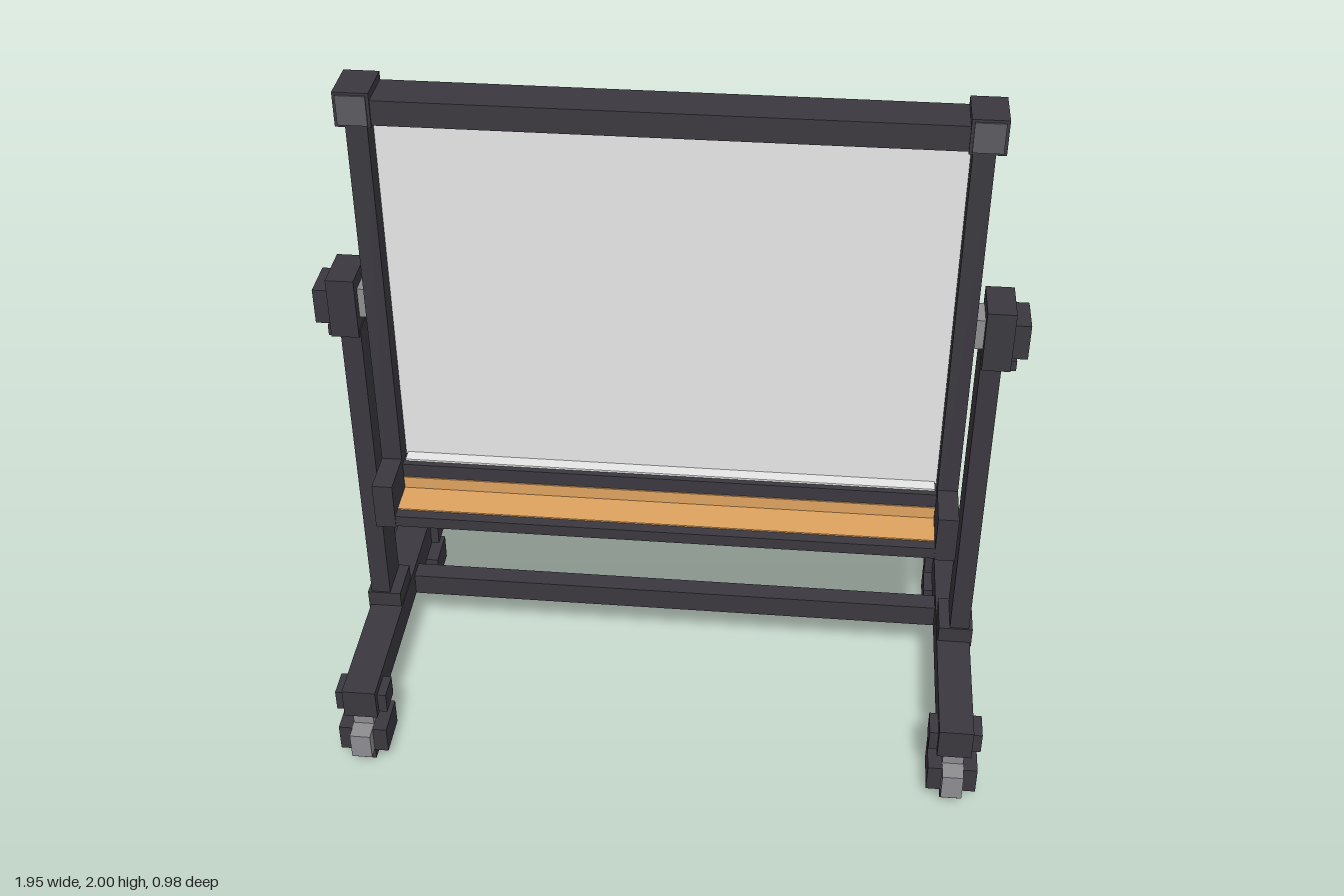
import * as THREE from 'three';

const mat = (name, color) => {
  const m = new THREE.MeshStandardMaterial({ color });
  m.name = name;
  return m;
};

export function createModel() {
  const dark = mat('charcoal frame', 0x3b393f);
  const grey = mat('caster grey', 0x8e8e92);
  const capGrey = mat('corner cap grey', 0x5c5c60);
  const white = mat('board white', 0xe8e8e8);
  const wood = mat('tray orange', 0xdfa45f);

  const model = new THREE.Group();
  model.name = 'rollingWhiteboard';

  // Box given by its low and high limits on each axis
  const box = (parent, name, m, [x0, x1], [y0, y1], [z0, z1]) => {
    const mesh = new THREE.Mesh(new THREE.BoxGeometry(Math.abs(x1 - x0), y1 - y0, z1 - z0), m);
    mesh.position.set((x0 + x1) / 2, (y0 + y1) / 2, (z0 + z1) / 2);
    mesh.name = name;
    parent.add(mesh);
  };
  const group = (name) => {
    const g = new THREE.Group();
    g.name = name;
    model.add(g);
    return g;
  };

  // Thin board set deep in its frame; the lower rail is stepped, taller in front
  const board = group('board');
  box(board, 'writingPanel', white, [-0.772, 0.772], [0.765, 1.915], [-0.008, 0.008]);
  box(board, 'topRail', dark, [-0.77, 0.77], [1.908, 1.978], [-0.063, 0.063]);
  box(board, 'bottomRail', dark, [-0.77, 0.77], [0.75, 0.778], [-0.063, 0.063]);
  box(board, 'frontBottomRail', dark, [-0.77, 0.77], [0.77, 0.82], [0.004, 0.063]);
  box(board, 'panelLedge', white, [-0.765, 0.765], [0.819, 0.826], [0.006, 0.045]);

  // Pen tray with a coloured floor and back strip
  const tray = group('penTray');
  box(tray, 'trayBody', dark, [-0.77, 0.77], [0.7, 0.735], [0.055, 0.2]);
  box(tray, 'trayFloor', wood, [-0.769, 0.769], [0.732, 0.739], [0.062, 0.168]);
  box(tray, 'trayBack', dark, [-0.77, 0.77], [0.73, 0.778], [0.05, 0.063]);
  box(tray, 'trayBackStrip', wood, [-0.769, 0.769], [0.737, 0.776], [0.062, 0.067]);

  // Crossbar between the feet
  box(model, 'crossbar', dark, [-0.83, 0.83], [0.18, 0.25], [-0.165, -0.105]);

  for (const s of [1, -1]) {
    const label = s > 0 ? 'left' : 'right';
    const X = (a, b) => [s * a, s * b];

    // Frame uprights, corner caps and tray ends
    box(board, label + 'FramePost', dark, X(0.77, 0.828), [0.7, 1.92], [-0.067, 0.069]);
    box(board, label + 'CornerCap', dark, X(0.76, 0.855), [1.903, 2], [-0.066, 0.068]);
    for (const z of [-0.068, 0.07])
      box(board, label + 'CornerCapPlate', capGrey, X(0.768, 0.847), [1.91, 1.993], [z - 0.003, z + 0.003]);
    box(tray, label + 'TrayEnd', dark, X(0.77, 0.828), [0.697, 0.842], [0.06, 0.203]);

    // Stand upright with its tilt pivot
    const stand = group(label + 'Stand');
    box(stand, 'upright', dark, X(0.85, 0.907), [0.25, 1.28], [-0.06, 0.064]);
    box(stand, 'pivotBlock', dark, X(0.853, 0.931), [1.26, 1.44], [-0.068, 0.074]);
    box(stand, 'pivotCollar', dark, X(0.86, 0.95), [1.238, 1.27], [-0.033, 0.035]);
    box(stand, 'pivotKnob', dark, X(0.92, 0.974), [1.295, 1.4], [-0.058, 0.062]);
    box(stand, 'pivotPin', grey, X(0.82, 0.86), [1.31, 1.4], [-0.045, 0.045]);

    // Foot
    box(stand, 'uprightSocket', dark, X(0.818, 0.918), [0.26, 0.325], [-0.067, 0.069]);
    box(stand, 'foot', dark, X(0.815, 0.913), [0.18, 0.275], [-0.49, 0.455]);

    // Blocky casters
    for (const z of [0.393, -0.39]) {
      const c = new THREE.Group();
      c.name = z > 0 ? 'frontCaster' : 'backCaster';
      c.position.set(s * 0.865, 0, z);
      stand.add(c);
      box(c, 'mount', dark, [-0.075, 0.075], [0.185, 0.25], [-0.04, 0.04]);
      box(c, 'stem', grey, [-0.03, 0.03], [0.12, 0.165], [-0.04, 0.04]);
      box(c, 'pin', dark, [-0.01, 0.01], [0.16, 0.185], [-0.01, 0.01]);
      box(c, 'fork', grey, [-0.03, 0.03], [0.05, 0.132], [-0.097, 0.097]);
      box(c, 'wheelPair', dark, [-0.071, 0.071], [0.046, 0.13], [-0.062, 0.062]);
      box(c, 'tread', dark, [-0.028, 0.028], [0, 0.06], [-0.05, 0.05]);
    }
  }
  return model;
}
